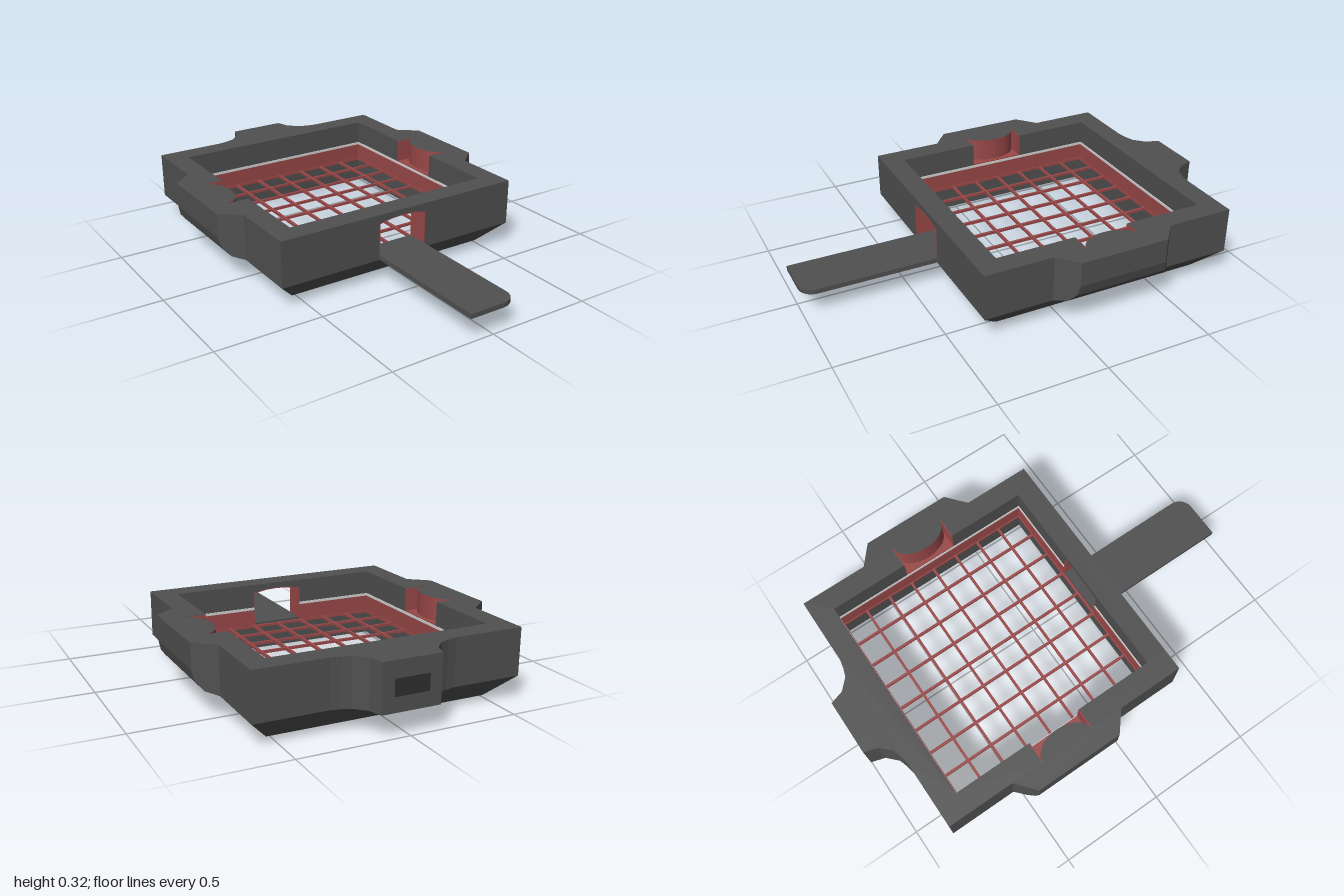
import * as THREE from 'three';
import { ConvexGeometry } from 'three/addons/geometries/ConvexGeometry.js';

const ZC = -0.247;            // centre of the square frame
const OUT = 0.618, INN = 0.515; // half sizes, outer and inner
const FRONT = ZC + OUT, BACK = ZC - OUT;
const BASE = 0.108, TOP = 0.325, LEDGE = 0.21;

export function createModel() {
  const model = new THREE.Group();
  const dark = new THREE.MeshStandardMaterial({ color: 0x505050, side: THREE.DoubleSide });
  dark.name = 'charcoal';
  const red = new THREE.MeshStandardMaterial({ color: 0x9a4848 });
  red.name = 'dull red';
  const pale = new THREE.MeshStandardMaterial({ color: 0xd4d4d4 });
  pale.name = 'pale grey';
  const black = new THREE.MeshStandardMaterial({ color: 0x303030 });
  black.name = 'recess grey';

  function add(name, geometry, material) {
    const mesh = new THREE.Mesh(geometry, material);
    mesh.name = name;
    model.add(mesh);
    return mesh;
  }
  function box(name, material, x0, x1, y0, y1, z0, z1) {
    const g = new THREE.BoxGeometry(x1 - x0, y1 - y0, z1 - z0);
    g.translate((x0 + x1) / 2, (y0 + y1) / 2, (z0 + z1) / 2);
    return add(name, g, material);
  }
  // plan outline given as [x, z] points, extruded upward
  function slab(name, material, points, y0, y1) {
    const shape = new THREE.Shape(points.map(([x, z]) => new THREE.Vector2(x, -z)));
    const g = new THREE.ExtrudeGeometry(shape, { depth: y1 - y0, bevelEnabled: false });
    g.rotateX(-Math.PI / 2);
    g.translate(0, y0, 0);
    return add(name, g, material);
  }
  // four-sided open skirt
  function skirt(name, top, bottom, y0, y1) {
    let g = new THREE.CylinderGeometry(top * Math.SQRT2, bottom * Math.SQRT2, y1 - y0, 4, 1, true);
    g = g.rotateY(Math.PI / 4).toNonIndexed();
    g.computeVertexNormals();
    g.translate(0, (y0 + y1) / 2, ZC);
    return add(name, g, dark);
  }

  // side and rear walls, including the flared rear boss
  const notch = [ZC - 0.135, ZC + 0.135];
  const rear = [[0.29, BACK], [0.245, -0.874], [0.205, -0.887], [0.155, -0.935], [0.135, -1]];
  const outer = [
    [OUT, FRONT], [OUT, BACK], ...rear,
    ...rear.slice().reverse().map(([x, z]) => [-x, z]),
    [-OUT, BACK], [-OUT, FRONT], [-INN, FRONT],
  ];
  const cut = (s) => {
    const p = [[s * INN, notch[1]], [s * OUT * 0.999, notch[1]], [s * OUT * 0.999, notch[0]], [s * INN, notch[0]]];
    return p;
  };
  const inner = [[-INN, ZC - INN], [INN, ZC - INN]];
  slab('lowerWalls', dark, [...outer, ...inner, [INN, FRONT]], BASE, LEDGE);
  slab('upperWalls', dark,
    [...outer, ...cut(-1), ...inner, ...cut(1).reverse(), [INN, FRONT]], LEDGE, TOP);

  // front wall with an arched slot
  const slot = [[-0.125, BASE], [-0.125, 0.285], [-0.06, 0.297], [0, 0.3], [0.06, 0.297], [0.125, 0.285], [0.125, BASE]];
  const upright = (points) => new THREE.ExtrudeGeometry(
    new THREE.Shape(points.map(([x, y]) => new THREE.Vector2(x, y))),
    { depth: OUT - INN, bevelEnabled: false }).translate(0, 0, FRONT - (OUT - INN));
  add('frontWall', upright([[-INN, BASE], ...slot, [INN, BASE], [INN, TOP], [-INN, TOP]]), dark);
  const lining = slot.map(([x, y]) => [x * 0.97, y === BASE ? y : y - 0.004]).reverse();
  add('slotLining', upright([...slot, ...lining]), red);

  // tapered underside and its straight inner wall
  skirt('taperedBase', OUT, INN, 0, BASE);
  skirt('innerBaseWall', INN - 0.001, INN - 0.001, 0, BASE);

  // bands round the inside: red liner with a pale line above
  function band(name, material, y0, y1, t) {
    const zb = ZC - INN, zf = ZC + INN;
    for (const s of [-1, 1]) {
      const a = s * INN, b = s * (INN - t);
      box(name, material, Math.min(a, b), Math.max(a, b), y0, y1, zb, zf);
      const c = s * 0.125, d = s * INN;
      box(name, material, Math.min(c, d), Math.max(c, d), y0, y1, zf - t, zf);
    }
    box(name, material, -INN, INN, y0, y1, zb, zb + t);
  }
  band('liner', red, BASE, 0.198, 0.006);
  band('linerEdge', pale, 0.198, LEDGE, 0.004);

  // mesh grid
  for (let i = 0; i <= 8; i++) {
    const o = (i - 4) * 0.1277, w = 0.006;
    box('gridBar', red, o - w, o + w, BASE, BASE + 0.013, ZC - INN, ZC + INN);
    box('gridBar', red, -INN, INN, BASE, BASE + 0.012, ZC + o - w, ZC + o + w);
  }

  for (const s of [-1, 1]) {
    // side grips: chamfered ends, rounded underside
    const pts = [];
    const profile = [[0, TOP], [0.093, TOP], [0.093, 0.21], [0.08, 0.16], [0.05, 0.123], [0, BASE]];
    for (const [d, y] of profile)
      for (const e of [-1, 1])
        pts.push(new THREE.Vector3(s * (OUT + d), y, ZC + e * (0.293 - d * 0.84)));
    add('sideGrip', new ConvexGeometry(pts), dark);

    // finger notch: red floor and ends, round tongue with a dark top
    const x0 = Math.min(s * INN, s * OUT), x1 = Math.max(s * INN, s * OUT);
    box('notchFloor', red, x0, x1, LEDGE, LEDGE + 0.005, notch[0], notch[1]);
    box('notchEnd', red, x0, x1, LEDGE, TOP - 0.002, notch[0], notch[0] + 0.004);
    box('notchEnd', red, x0, x1, LEDGE, TOP - 0.002, notch[1] - 0.004, notch[1]);
    const lens = [];
    for (let i = 0; i <= 16; i++) {
      const a = (i / 16 - 0.5) * Math.PI;
      lens.push([s * (OUT - 0.085 * Math.cos(a)), ZC + 0.132 * Math.sin(a)]);
    }
    slab('notchRound', [dark, red], lens, LEDGE, TOP);
  }

  // flat handle, one front corner rounded
  const handle = [[-0.123, FRONT - 0.1], [-0.123, 1]];
  for (let i = 0; i <= 6; i++) {
    const a = (i / 6) * Math.PI / 2;
    handle.push([0.05 + 0.07 * Math.sin(a), 0.93 + 0.07 * Math.cos(a)]);
  }
  handle.push([0.12, FRONT - 0.1]);
  slab('handle', dark, handle, BASE, 0.13);

  // plain recess on the rear boss
  box('rearRecess', black, -0.08, 0.08, 0.175, 0.25, -1.001, -0.998);

  return model;
}
